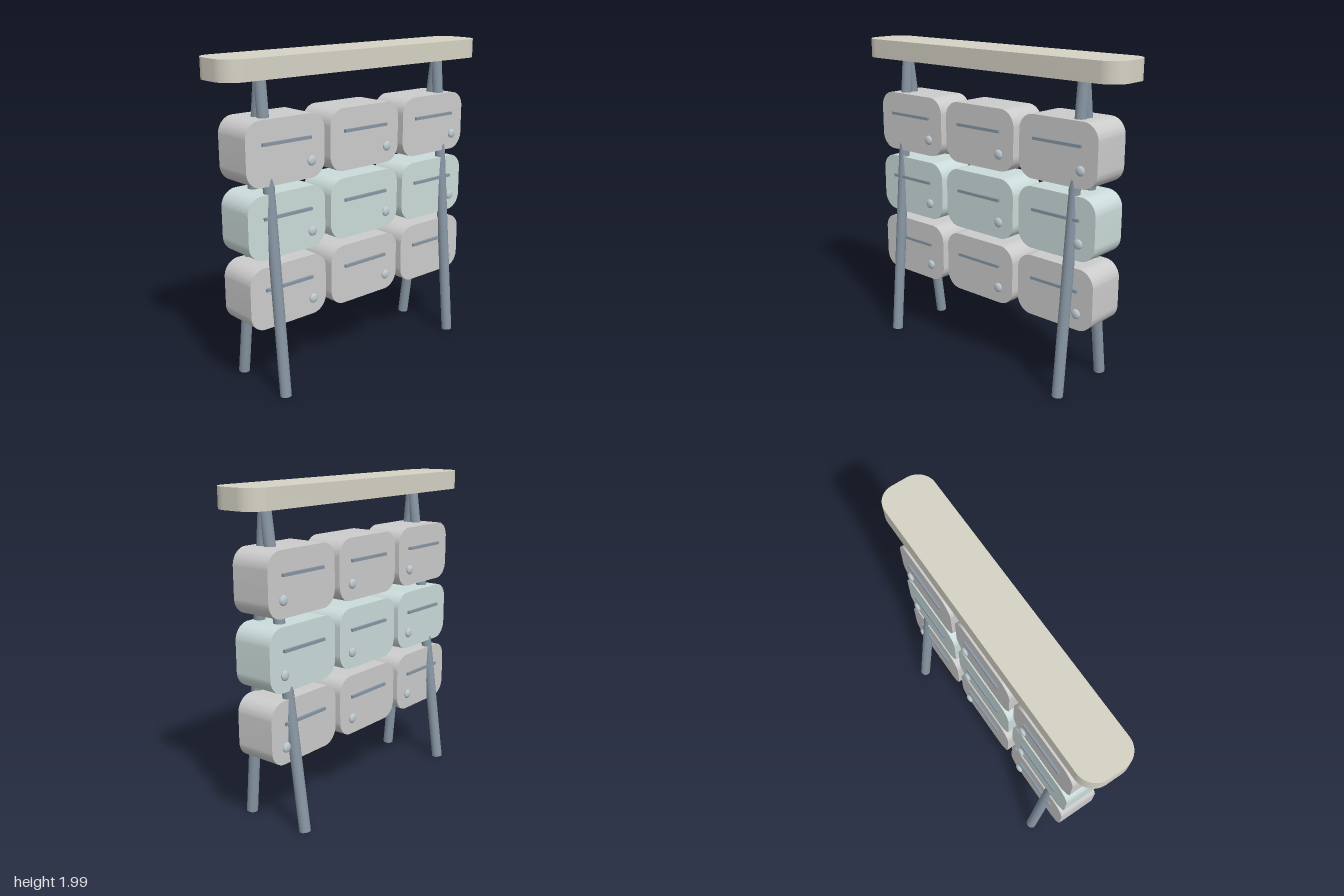
import * as THREE from 'three';
import { toCreasedNormals } from 'three/addons/utils/BufferGeometryUtils.js';

const mat = (color) => new THREE.MeshStandardMaterial({ color });

// Rounded rectangle extruded along z and centred on the origin
function roundedSlab(w, h, depth, r) {
  const x = w / 2, y = h / 2;
  const s = new THREE.Shape();
  s.moveTo(-x + r, -y);
  s.lineTo(x - r, -y);
  s.absarc(x - r, -y + r, r, -Math.PI / 2, 0);
  s.lineTo(x, y - r);
  s.absarc(x - r, y - r, r, 0, Math.PI / 2);
  s.lineTo(-x + r, y);
  s.absarc(-x + r, y - r, r, Math.PI / 2, Math.PI);
  s.lineTo(-x, -y + r);
  s.absarc(-x + r, -y + r, r, Math.PI, Math.PI * 1.5);
  const geo = new THREE.ExtrudeGeometry(s, { depth, bevelEnabled: false, curveSegments: 10 });
  geo.translate(0, 0, -depth / 2);
  return toCreasedNormals(geo, 0.6);
}

// Round bar between two points
function bar(a, b, radius, material) {
  const dir = b.clone().sub(a);
  const mesh = new THREE.Mesh(new THREE.CylinderGeometry(radius, radius, dir.length(), 24), material);
  mesh.position.copy(a).add(b).multiplyScalar(0.5);
  mesh.quaternion.setFromUnitVectors(new THREE.Vector3(0, 1, 0), dir.normalize());
  return mesh;
}

export function createModel() {
  const model = new THREE.Group();
  const steel = mat(0x8796a3), grey = mat(0xcccccc), mint = mat(0xcadbd9);
  const stone = mat(0xd5d2c4), knobMat = mat(0xbcc8cf);

  const add = (parent, geo, material, name, x, y, z) => {
    const mesh = new THREE.Mesh(geo, material);
    mesh.name = name;
    mesh.position.set(x, y, z);
    parent.add(mesh);
    return mesh;
  };

  // Top board with rounded corners in plan
  const board = roundedSlab(2, 0.326, 0.12, 0.115);
  board.rotateX(-Math.PI / 2);
  add(model, board, stone, 'topBoard', 0, 1.929, 0);

  // Two pairs of splayed legs meeting under the board
  for (const side of [1, -1]) {
    for (const face of [1, -1]) {
      const foot = new THREE.Vector3(side * 0.707, 0.005, face * 0.216);
      const head = new THREE.Vector3(side * 0.707, 1.9, 0.044);
      const leg = bar(foot, head, 0.034, steel);
      leg.name = (face > 0 ? 'front' : 'back') + (side > 0 ? 'Left' : 'Right') + 'Leg';
      model.add(leg);
    }
  }

  // Three by three boxes, each with a slot bar and knob on both faces
  const boxGeo = roundedSlab(0.553, 0.378, 0.262, 0.1);
  const slotGeo = new THREE.BoxGeometry(0.34, 0.018, 0.03);
  const knobGeo = new THREE.SphereGeometry(0.03, 20, 14);
  [0.612, 1.038, 1.462].forEach((y, row) => {
    for (const col of [-1, 0, 1]) {
      const unit = new THREE.Group();
      unit.name = 'boxUnit';
      unit.position.set(col * 0.598, y, 0);
      add(unit, boxGeo, row === 1 ? mint : grey, 'box', 0, 0, 0);
      for (const face of [1, -1]) {
        add(unit, slotGeo, steel, 'slotBar', 0, 0.053, face * 0.131);
        add(unit, knobGeo, knobMat, 'knob', 0.171, -0.084, face * 0.143).scale.z = 0.48;
      }
      model.add(unit);
    }
  });

  return model;
}
